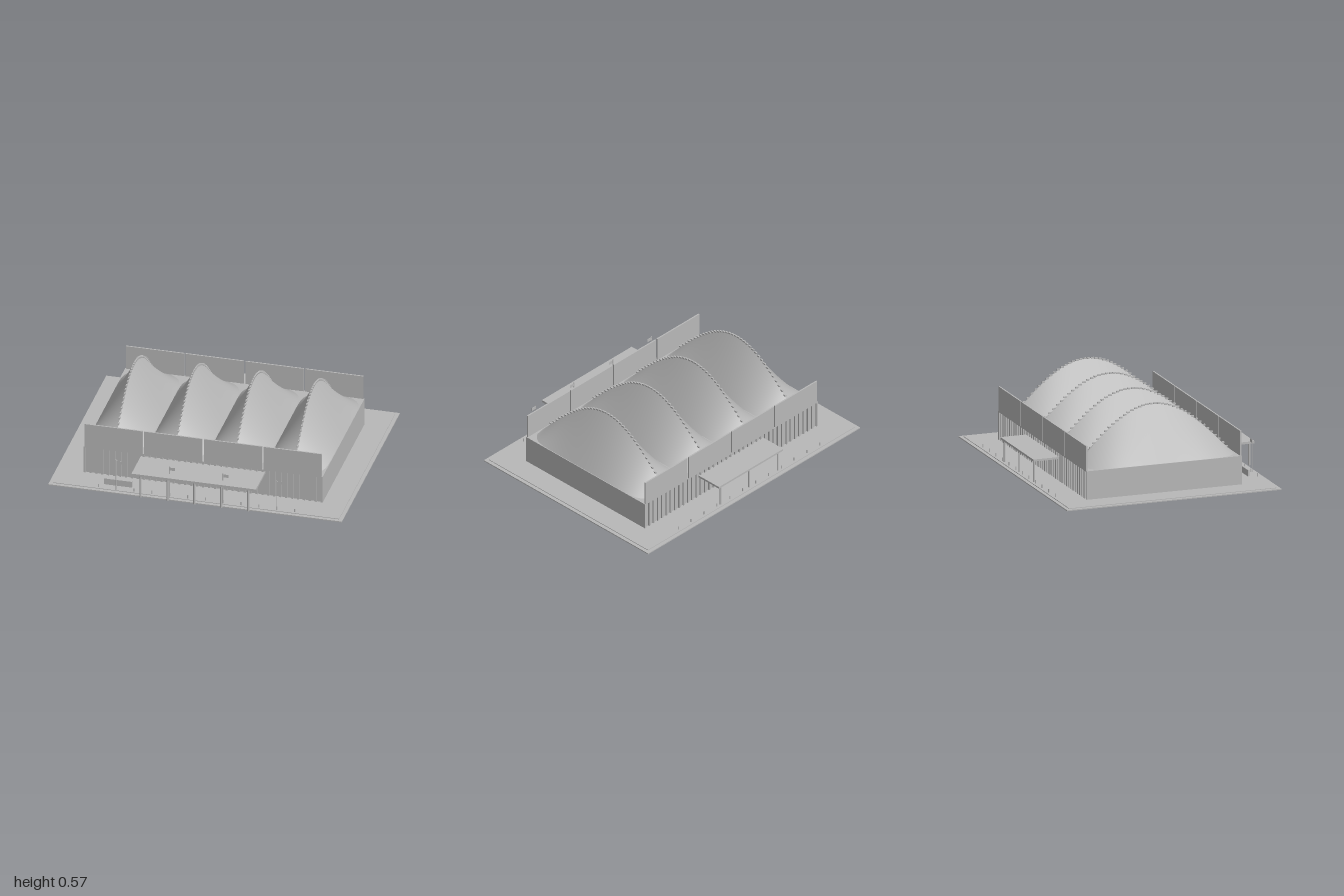
import * as THREE from 'three';

const concrete = new THREE.MeshStandardMaterial({ color: 0xb8b8b8 });
concrete.name = 'concrete grey';

const MID = -0.017; // building centre in z
const HALF = 0.535; // half depth of the roof
const EAVE = 0.205;
const BAY = 0.407;
const roofHeight = (t) => EAVE + 0.358 * Math.cos((t * Math.PI) / 2);

// Box given by its low and high corners
function box(parent, name, x0, x1, y0, y1, z0, z1) {
  const mesh = new THREE.Mesh(new THREE.BoxGeometry(x1 - x0, y1 - y0, z1 - z0), concrete);
  mesh.position.set((x0 + x1) / 2, (y0 + y1) / 2, (z0 + z1) / 2);
  mesh.name = name;
  parent.add(mesh);
  return mesh;
}

function post(parent, name, x, z, r, y0, y1, sides = 10) {
  const mesh = new THREE.Mesh(new THREE.CylinderGeometry(r, r, y1 - y0, sides), concrete);
  mesh.position.set(x, (y0 + y1) / 2, z);
  mesh.name = name;
  parent.add(mesh);
}

// One sloping side of a roof bay: straight from eave to arched ridge
function roofSlope(side) {
  const n = 80;
  const pos = [];
  const index = [];
  for (let i = 0; i <= n; i++) {
    const t = -1 + (2 * i) / n;
    const w = 0.2 * (1 - 0.5 * Math.pow(Math.abs(t), 12));
    const z = MID + t * HALF;
    pos.push(side * w, EAVE, z, 0, roofHeight(t), z);
    if (i < n) {
      const a = 2 * i, d = a + 1, b = a + 2, c = a + 3;
      if (side < 0) index.push(a, b, c, a, c, d);
      else index.push(a, c, b, a, d, c);
    }
  }
  const g = new THREE.BufferGeometry();
  g.setAttribute('position', new THREE.Float32BufferAttribute(pos, 3));
  g.setIndex(index);
  g.computeVertexNormals();
  return g;
}

export function createModel() {
  const model = new THREE.Group();
  model.name = 'marketHall';

  // Ground slab and paving
  box(model, 'groundSlab', -1, 1, 0, 0.007, -0.772, 0.742);
  box(model, 'paving', -0.975, 0.975, 0.007, 0.011, -0.747, 0.717);

  // Hall body
  box(model, 'hallBody', -0.815, 0.815, 0.011, EAVE, -0.553, 0.523);

  // Ribbed walls and parapet panels, front and back
  for (const [label, z0, z1] of [['front', 0.523, 0.533], ['back', -0.563, -0.553]]) {
    const wall = new THREE.Group();
    wall.name = label + 'Wall';
    model.add(wall);
    for (let i = 0; i <= 40; i++) {
      const x = -0.808 + i * 0.0404;
      box(wall, 'rib', x - 0.007, x + 0.007, 0.011, EAVE, z0, z1);
    }
    for (let i = 0; i < 4; i++) {
      const x = (i - 1.5) * BAY;
      box(wall, 'parapetPanel', x - 0.198, x + 0.198, 0.2, 0.375, z0, z1);
    }
  }

  // Four arched roof bays with stepped ridge caps
  const slopes = [roofSlope(-1), roofSlope(1)];
  const caps = 40;
  const capGeo = new THREE.BoxGeometry(0.01, 0.01, 0.021);
  for (let i = 0; i < 4; i++) {
    const bay = new THREE.Group();
    bay.name = 'roofBay';
    bay.position.x = (i - 1.5) * BAY;
    model.add(bay);
    for (const g of slopes) {
      const slope = new THREE.Mesh(g, concrete);
      slope.name = 'roofSlope';
      bay.add(slope);
    }
    for (let k = 0; k < caps; k++) {
      const t = -0.97 + (1.94 * k) / (caps - 1);
      const cap = new THREE.Mesh(capGeo, concrete);
      cap.name = 'ridgeCap';
      cap.position.set(0, roofHeight(t) + 0.003, MID + t * HALF);
      bay.add(cap);
    }
  }

  // Front canopy
  const front = new THREE.Group();
  front.name = 'frontCanopy';
  model.add(front);
  box(front, 'canopyRoof', -0.425, 0.422, 0.169, 0.184, 0.523, 0.772);
  for (const x of [-0.367, -0.183, 0, 0.183, 0.367]) post(front, 'canopyColumn', x, 0.757, 0.008, 0.007, 0.17);

  // Back canopy
  const back = new THREE.Group();
  back.name = 'backCanopy';
  model.add(back);
  box(back, 'canopyRoof', -0.304, 0.302, 0.16, 0.174, -0.743, -0.553);
  for (const x of [-0.27, 0, 0.27]) post(back, 'canopyColumn', x, -0.726, 0.006, 0.007, 0.162);

  // Flagpoles
  for (const x of [-0.547, -0.183, 0.183, 0.545]) {
    post(model, 'flagpole', x, 0.709, 0.003, 0.007, 0.238, 8);
    box(model, 'flag', x, x + 0.037, 0.209, 0.231, 0.708, 0.71);
  }

  // Low sign wall
  box(model, 'signWall', -0.642, -0.453, 0.01, 0.054, 0.641, 0.655);

  // Bollards along front and back
  for (let i = 0; i < 12; i++) {
    const x = (i - 5.5) * 0.1215;
    post(model, 'bollard', x, 0.7, 0.004, 0.007, 0.035, 8);
    post(model, 'bollard', x, -0.727, 0.004, 0.007, 0.035, 8);
  }
  return model;
}
